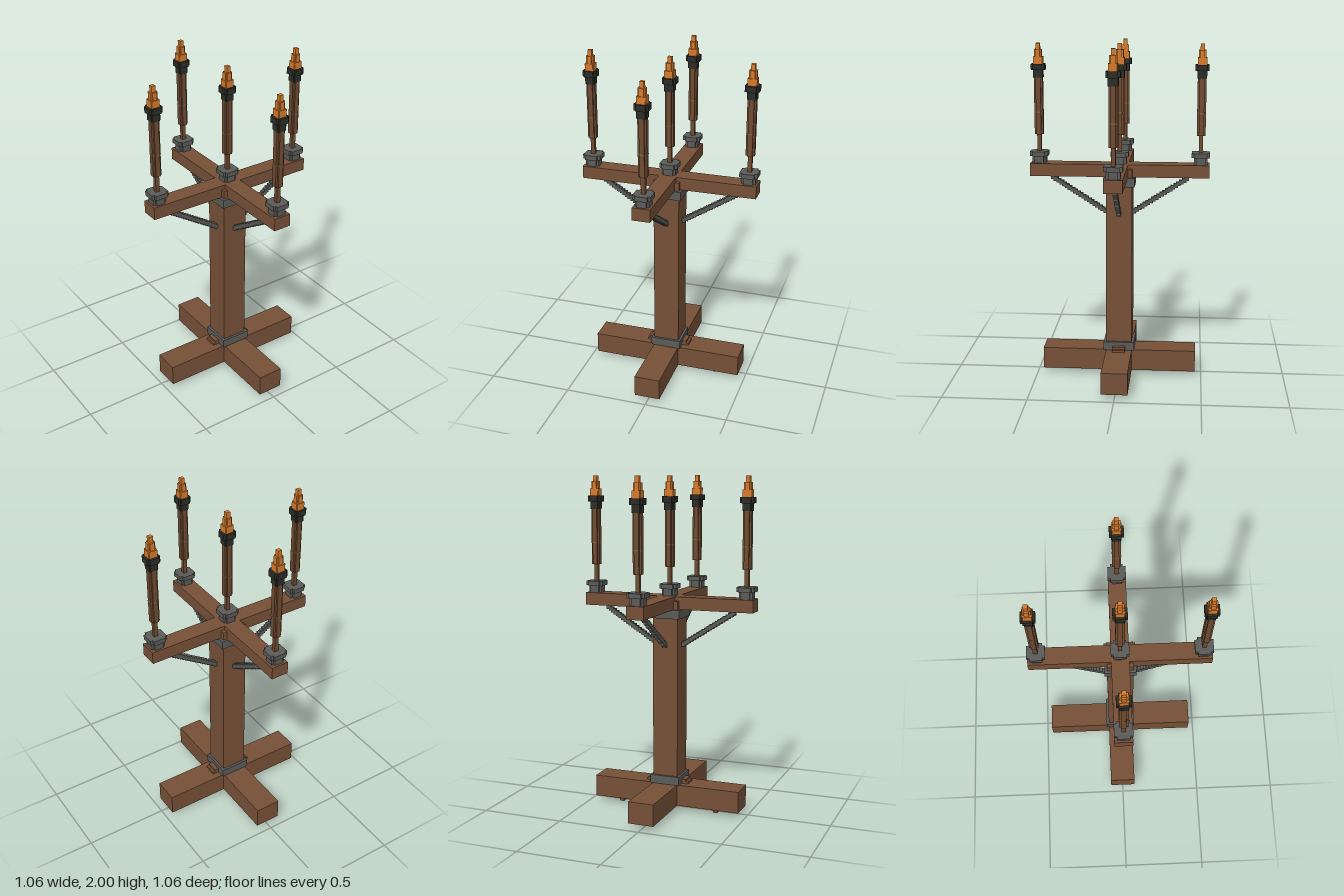
import * as THREE from 'three';

const mat = (name, color) => {
  const m = new THREE.MeshStandardMaterial({ color });
  m.name = name;
  return m;
};

export function createModel() {
  const wood = mat('wood', 0x765037);
  const shaftWood = mat('shaft wood', 0x6f4b31);
  const twine = mat('twine', 0x7c6440);
  const iron = mat('iron', 0x5a5a58);
  const charred = mat('charred cloth', 0x2b2d27);
  const flame = mat('flame', 0xd57a2c);

  const model = new THREE.Group();
  model.name = 'torchStand';

  // Box given by full width, depth and its bottom and top heights
  const block = (parent, name, material, w, d, y0, y1, x = 0, z = 0) => {
    const mesh = new THREE.Mesh(new THREE.BoxGeometry(w, y1 - y0, d), material);
    mesh.position.set(x, (y0 + y1) / 2, z);
    mesh.name = name;
    parent.add(mesh);
    return mesh;
  };

  // Square prism with stepped corners, like a blocky round
  const steppedRound = (parent, name, material, half, notch, y0, y1) => {
    const a = half, b = half - notch;
    const pts = [[a, -b], [a, b], [b, b], [b, a], [-b, a], [-b, b],
      [-a, b], [-a, -b], [-b, -b], [-b, -a], [b, -a], [b, -b]];
    const shape = new THREE.Shape(pts.map(([x, y]) => new THREE.Vector2(x, y)));
    const geo = new THREE.ExtrudeGeometry(shape, { depth: y1 - y0, bevelEnabled: false });
    geo.rotateX(-Math.PI / 2);
    const mesh = new THREE.Mesh(geo, material);
    mesh.position.y = y0;
    mesh.name = name;
    parent.add(mesh);
  };

  // Crossed base beams
  block(model, 'baseBeamX', wood, 0.925, 0.155, 0.03, 0.16);
  for (const s of [-1, 1]) {
    block(model, 'baseBeamZ', wood, 0.155, 0.385, 0.03, 0.16, 0, s * 0.27);
    // Stepped feet and wedges
    block(model, 'footUpper', wood, 0.052, 0.076, 0.014, 0.03, s * 0.305);
    block(model, 'footLower', wood, 0.026, 0.076, 0, 0.014, s * 0.305);
    block(model, 'wedgeLower', wood, 0.05, 0.076, 0.16, 0.174, s * 0.107);
    block(model, 'wedgeUpper', wood, 0.03, 0.076, 0.174, 0.187, s * 0.102);
  }

  // Post and iron collars
  block(model, 'post', wood, 0.155, 0.155, 0.16, 1.275);
  block(model, 'lowerCollar', iron, 0.184, 0.184, 0.161, 0.212);
  block(model, 'upperCollar', iron, 0.184, 0.184, 1.172, 1.225);

  // Crossed top arms
  block(model, 'armX', wood, 1.056, 0.105, 1.225, 1.3);
  for (const s of [-1, 1]) {
    block(model, 'armZ', wood, 0.105, 0.4755, 1.225, 1.3, 0, s * 0.29025);
  }

  // Stepped diagonal braces under the four arms
  for (let k = 0; k < 4; k++) {
    const brace = new THREE.Group();
    brace.name = 'brace';
    const steps = 20;
    for (let i = 0; i < steps; i++) {
      const t = i / (steps - 1);
      const y = 1.011 + t * 0.201;
      block(brace, 'braceStep', iron, 0.027, 0.026, y - 0.012, y + 0.012, 0.084 + t * 0.313);
    }
    brace.rotation.y = k * Math.PI / 2;
    model.add(brace);
  }

  // Torch with its iron cup
  const addTorch = (x, z) => {
    const t = new THREE.Group();
    t.name = 'torch';
    t.position.set(x, 0, z);
    steppedRound(t, 'cupBase', iron, 0.04, 0.013, 1.3, 1.345);
    steppedRound(t, 'cupRim', iron, 0.053, 0.016, 1.342, 1.37);
    block(t, 'stem', shaftWood, 0.024, 0.024, 1.36, 1.475);
    steppedRound(t, 'shaft', shaftWood, 0.0255, 0.011, 1.47, 1.805);
    steppedRound(t, 'shaftBand', twine, 0.0262, 0.011, 1.597, 1.605);
    steppedRound(t, 'torchHead', charred, 0.028, 0.006, 1.802, 1.85);
    steppedRound(t, 'torchHeadRim', charred, 0.04, 0.013, 1.846, 1.881);
    steppedRound(t, 'flameBase', flame, 0.027, 0.004, 1.88, 1.922);
    steppedRound(t, 'flameMiddle', flame, 0.022, 0.009, 1.92, 1.965);
    block(t, 'flameTip', flame, 0.024, 0.024, 1.96, 2.0);
    model.add(t);
  };
  const r = 0.476;
  for (const [x, z] of [[0, 0], [r, 0], [-r, 0], [0, r], [0, -r]]) addTorch(x, z);

  return model;
}
